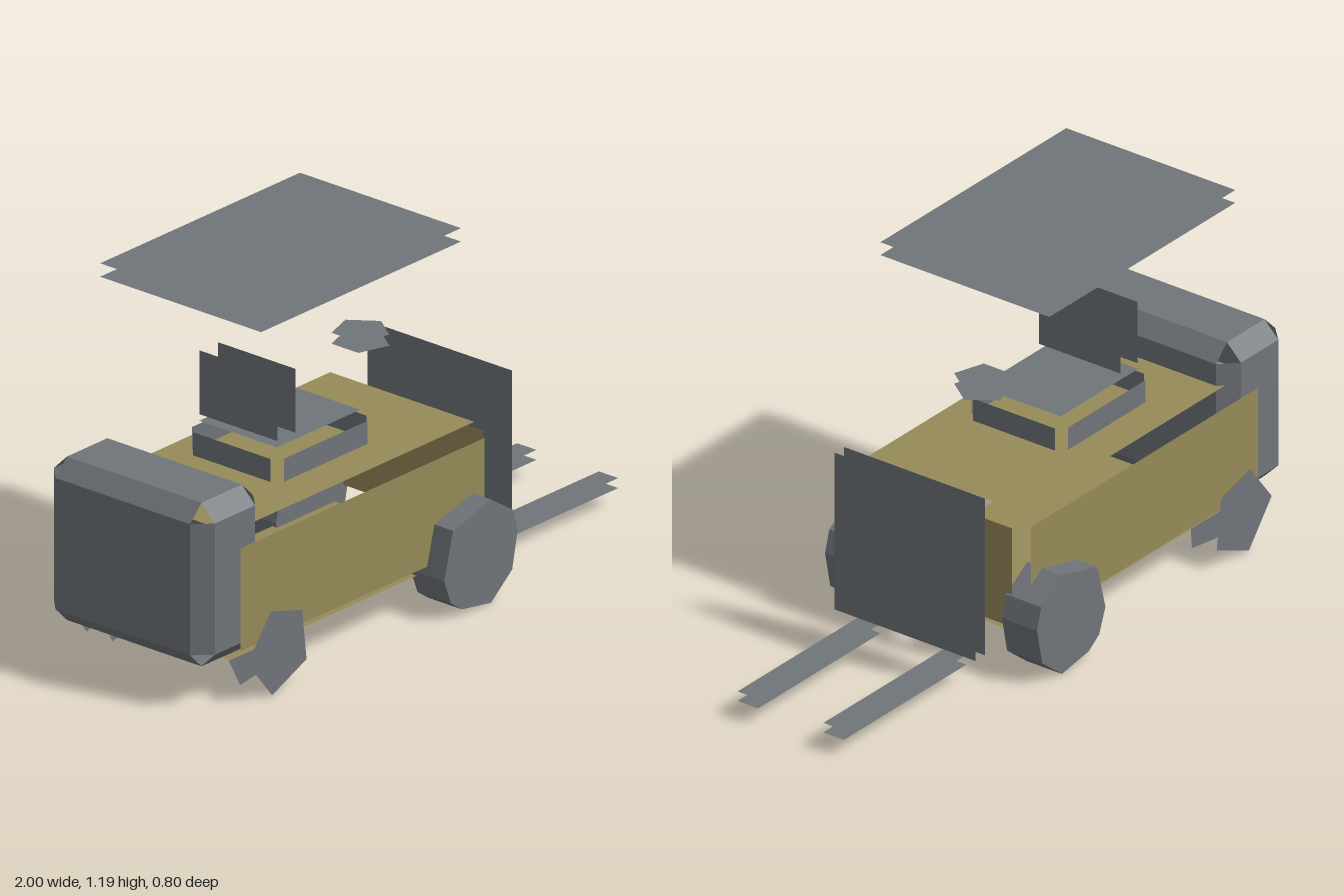
import * as THREE from 'three';

export function createModel() {
  const group = new THREE.Group();
  const material = (name, color) => {
    const m = new THREE.MeshStandardMaterial({ color, side: THREE.DoubleSide });
    m.name = name;
    return m;
  };
  const olive = material('olive paint', 0x968a58);
  const grey = material('grey metal', 0x70757a);

  const add = (name, geometry, mat) => {
    const mesh = new THREE.Mesh(geometry, mat);
    mesh.name = name;
    group.add(mesh);
    return mesh;
  };

  // Separate flat panels of a box, inset by a bevel; optional chamfer strips along the edges
  function panels(min, max, bevel = 0, axes = [0, 1, 2], chamfers = false) {
    const pos = [];
    const outer = [min, max];
    const inner = [min.map(v => v + bevel), max.map(v => v - bevel)];
    const quad = (a, b, c, d, out) => {
      const u = new THREE.Vector3(...b).sub(new THREE.Vector3(...a));
      const v = new THREE.Vector3(...c).sub(new THREE.Vector3(...a));
      const ok = u.cross(v).dot(new THREE.Vector3(...out)) > 0;
      const p = ok ? [a, b, c, d] : [d, c, b, a];
      for (const k of [0, 1, 2, 0, 2, 3]) pos.push(...p[k]);
    };
    for (const i of axes) {
      const j = (i + 1) % 3, k = (i + 2) % 3;
      for (const s of [0, 1]) {
        const corner = (sj, sk) => {
          const p = [];
          p[i] = outer[s][i]; p[j] = inner[sj][j]; p[k] = inner[sk][k];
          return p;
        };
        const out = [0, 0, 0];
        out[i] = s * 2 - 1;
        quad(corner(0, 0), corner(1, 0), corner(1, 1), corner(0, 1), out);
        if (!chamfers) continue;
        for (const t of [0, 1]) {
          const edge = (onI, sk) => {
            const p = [];
            p[i] = (onI ? outer : inner)[s][i];
            p[j] = (onI ? inner : outer)[t][j];
            p[k] = inner[sk][k];
            return p;
          };
          const dir = [...out];
          dir[j] = t * 2 - 1;
          quad(edge(true, 0), edge(false, 0), edge(false, 1), edge(true, 1), dir);
        }
      }
    }
    const g = new THREE.BufferGeometry();
    g.setAttribute('position', new THREE.Float32BufferAttribute(pos, 3));
    g.computeVertexNormals();
    return g;
  }

  const outline = pts => new THREE.Shape(pts.map(p => new THREE.Vector2(...p)));

  // Chassis and counterweight
  add('body', panels([-0.88, 0.125, -0.322], [0.295, 0.535, 0.322], 0.04), olive);
  add('counterweight', panels([-1, 0.135, -0.315], [-0.715, 0.66, 0.315], 0.052, [0, 1, 2], true), grey);

  // Driver's place
  add('seat', panels([-0.51, 0.525, -0.18], [-0.08, 0.655, 0.18], 0.028), grey);
  add('seatBack', panels([-0.48, 0.675, -0.152], [-0.398, 0.88, 0.152], 0, [0]), grey);
  add('roof', panels([-0.74, 1.155, -0.315], [0.157, 1.198, 0.315], 0, [1]), grey);
  for (const y of [0.775, 0.81]) {
    const disc = add('steeringWheel', new THREE.CircleGeometry(0.09, 5), grey);
    disc.rotation.x = -Math.PI / 2;
    disc.position.set(0.07, y, 0);
  }

  // Lifting gear
  add('mast', panels([0.4, 0.108, -0.263], [0.445, 0.633, 0.263], 0, [0]), grey);
  for (const z of [-0.16, 0.16])
    add('fork', panels([0.405, 0.058, z - 0.038], [0.997, 0.09, z + 0.038], 0, [1]), grey);

  // Wheels, mirrored across the centre line
  const frontTyre = outline([[-0.01, 0.14], [0.03, 0.29], [0.2, 0.335], [0.3, 0.27], [0.32, 0.2],
    [0.295, 0.08], [0.2, 0.004], [0.07, 0.025], [0.02, 0.06]]);
  const frontHub = outline([[0.095, 0.25], [0.23, 0.225], [0.235, 0.115], [0.1, 0.09]]);
  const rearOuter = outline([[-0.855, 0.14], [-0.75, 0.275], [-0.61, 0.235], [-0.59, 0.07], [-0.745, 0.004]]);
  const rearInner = outline([[-0.84, 0.16], [-0.72, 0.27], [-0.6, 0.2], [-0.615, 0.03], [-0.76, 0.01]]);
  const rearHub = outline([[-0.79, 0.157], [-0.667, 0.205], [-0.65, 0.095], [-0.738, 0.062]]);
  for (const side of [1, -1]) {
    const tyre = add('frontWheel',
      new THREE.ExtrudeGeometry(frontTyre, { depth: 0.131, bevelEnabled: false }), grey);
    tyre.position.z = side > 0 ? 0.264 : -0.395;
    const plates = [['frontHub', frontHub, 0.398], ['rearWheelOuterFace', rearOuter, 0.362],
      ['rearWheelInnerFace', rearInner, 0.25], ['rearHub', rearHub, 0.37]];
    for (const [name, shape, z] of plates)
      add(name, new THREE.ShapeGeometry(shape), grey).position.z = side * z;
  }
  return group;
}
